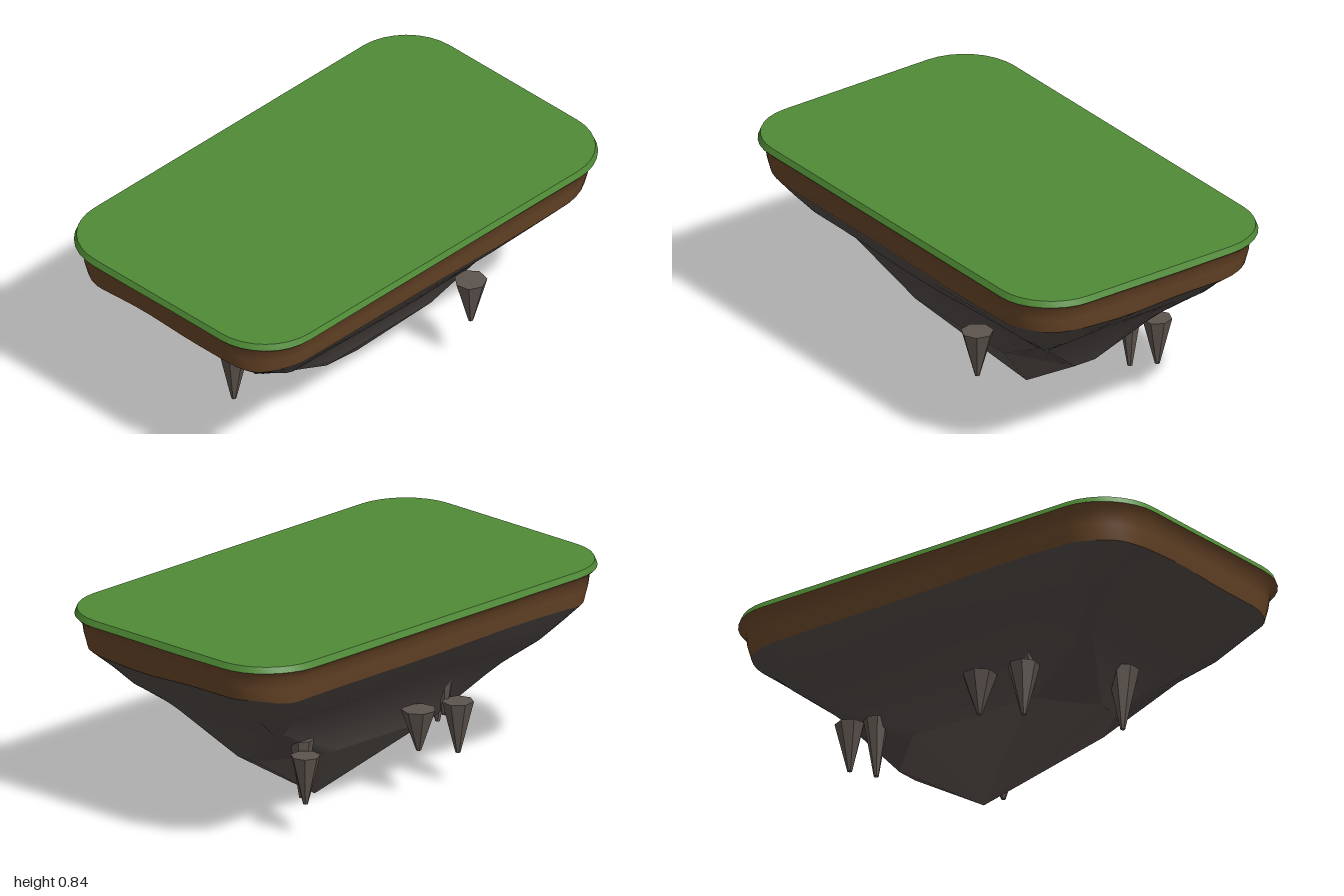
import * as THREE from 'three';

const ARC = 8, STRAIGHT = 8;
const SIGNS = [[1, 1], [-1, 1], [-1, -1], [1, -1]];

// Adds evenly spaced points along the straight runs between the corners
function closeRing(corners) {
  const ring = [];
  corners.forEach((arc, c) => {
    ring.push(...arc);
    const a = arc[ARC], b = corners[(c + 1) % 4][0];
    for (let k = 1; k < STRAIGHT; k++) ring.push(a.clone().lerp(b, k / STRAIGHT));
  });
  return ring;
}

// Rounded rectangle at height y with corner radius r and a gentle wave
function ringAt(y, hx, hz, r, wave = 0) {
  const ring = closeRing(SIGNS.map(([sx, sz], c) =>
    Array.from({ length: ARC + 1 }, (_, k) => {
      const t = (c + k / ARC) * Math.PI / 2;
      return new THREE.Vector3(sx * (hx - r) + r * Math.cos(t), y, sz * (hz - r) + r * Math.sin(t));
    })));
  ring.forEach((p, i) => {
    const t = i / ring.length * Math.PI * 2;
    p.y += wave * (Math.sin(5 * t + y * 9) + 0.5 * Math.sin(11 * t + y * 20));
  });
  return ring;
}

// Lower rim of the rock, with cut-off corners
function lowerRim() {
  return closeRing(SIGNS.map(([sx, sz], c) => {
    const ends = [
      new THREE.Vector3(sx * 0.5, 0.235, sz * 0.05),
      new THREE.Vector3(sx * 0.29, 0.262, sz * 0.235),
    ];
    if (c % 2) ends.reverse();
    return Array.from({ length: ARC + 1 }, (_, k) => ends[0].clone().lerp(ends[1], k / ARC));
  }));
}

// Skins a stack of rings, listed from top to bottom
function loft(rings) {
  const n = rings[0].length, index = [];
  for (let r = 0; r < rings.length - 1; r++) {
    for (let i = 0; i < n; i++) {
      const a = r * n + i, b = r * n + (i + 1) % n;
      index.push(a, b, a + n, b, b + n, a + n);
    }
  }
  const geo = new THREE.BufferGeometry().setFromPoints(rings.flat());
  geo.setIndex(index);
  geo.computeVertexNormals();
  return geo;
}

// Flat-faced fan between a ring and one point
function fan(ring, point, up) {
  const n = ring.length, index = [];
  for (let i = 0; i < n; i++) {
    const j = (i + 1) % n;
    index.push(...(up ? [j, i, n] : [i, j, n]));
  }
  const indexed = new THREE.BufferGeometry().setFromPoints([...ring, point]);
  indexed.setIndex(index);
  const geo = indexed.toNonIndexed();
  geo.computeVertexNormals();
  return geo;
}

export function createModel() {
  const model = new THREE.Group();
  model.name = 'floatingIsland';
  const material = (name, color, side = THREE.FrontSide) =>
    new THREE.MeshStandardMaterial({ name, color, side });
  const grass = material('grassGreen', 0x4f8a35);
  const dirt = material('soilBrown', 0x694628);
  const rock = material('darkRock', 0x4f4946, THREE.DoubleSide);
  const stone = material('paleRock', 0x5c534d, THREE.DoubleSide);
  const add = (name, geo, mat) => {
    const mesh = new THREE.Mesh(geo, mat);
    mesh.name = name;
    model.add(mesh);
    return mesh;
  };

  // Grass slab
  const lawn = ringAt(0.843, 0.99, 0.59, 0.24);
  const lip = ringAt(0.818, 1.0, 0.6, 0.25, 0.001);
  add('grassTop', fan(lawn, new THREE.Vector3(0, 0.843, 0), true), grass);
  add('grassEdge', loft([lawn, lip]), grass);

  // Soil band
  const soilBase = ringAt(0.68, 0.95, 0.553, 0.21, 0.006);
  add('soilBand', loft([
    lip, ringAt(0.788, 0.972, 0.574, 0.23, 0.003), ringAt(0.74, 0.965, 0.566, 0.22, 0.003), soilBase,
  ]), dirt);

  // Tapering rock body, its corners sharpening on the way down
  const rim = lowerRim();
  add('rockBody', loft([
    soilBase, ringAt(0.62, 0.875, 0.505, 0.17, 0.006), ringAt(0.545, 0.785, 0.44, 0.12, 0.008),
    ringAt(0.435, 0.635, 0.305, 0.03, 0.005), rim,
  ]), rock);

  // Pointed underside
  add('rockTip', fan(rim, new THREE.Vector3(0.12, 0, 0), false), stone);

  // Hanging spikes: x, z, top, bottom, radius
  [
    [0.34, 0.405, 0.435, 0.24, 0.066],
    [-0.57, 0, 0.385, 0.13, 0.066],
    [0.52, -0.34, 0.337, 0.137, 0.06],
    [0.455, -0.255, 0.37, 0.127, 0.05],
    [-0.34, -0.335, 0.35, 0.137, 0.064],
    [-0.12, -0.335, 0.37, 0.2, 0.07],
    [-0.33, -0.27, 0.46, 0.28, 0.04],
  ].forEach(([x, z, top, bottom, radius], i) => {
    const geo = new THREE.CylinderGeometry(radius, 0.01, top - bottom, 7).toNonIndexed();
    geo.computeVertexNormals();
    const spike = add('hangingSpike' + (i + 1), geo, stone);
    spike.position.set(x, (top + bottom) / 2, z);
    spike.rotation.y = i * 0.7;
  });

  return model;
}
